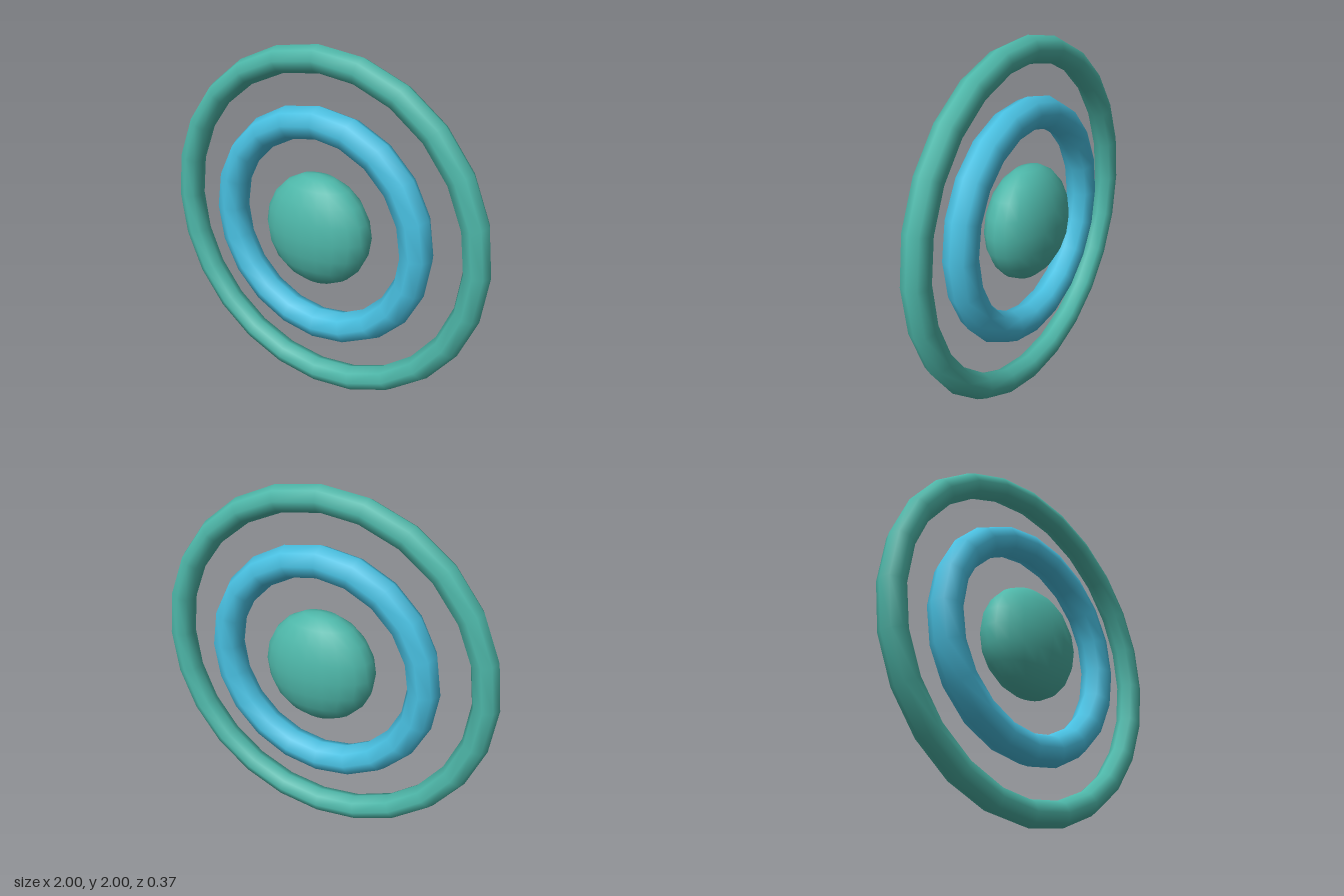
import * as THREE from 'three';

export function createModel() {
  const model = new THREE.Group();
  model.name = 'ringedTarget';

  const teal = new THREE.MeshStandardMaterial({ color: 0x4db6a8 });
  teal.name = 'teal';
  const blue = new THREE.MeshStandardMaterial({ color: 0x48bfe0 });
  blue.name = 'skyBlue';

  const add = (name, geometry, material) => {
    const mesh = new THREE.Mesh(geometry, material);
    mesh.name = name;
    mesh.position.y = 1;
    model.add(mesh);
    return mesh;
  };

  // Two concentric upright rings
  add('outerRing', new THREE.TorusGeometry(0.928, 0.072, 8, 24), teal);
  add('innerRing', new THREE.TorusGeometry(0.6, 0.09, 8, 20), blue);

  // Flattened ball in the middle
  const core = add('core', new THREE.SphereGeometry(0.322, 20, 10), teal);
  core.scale.z = 0.57;

  return model;
}
